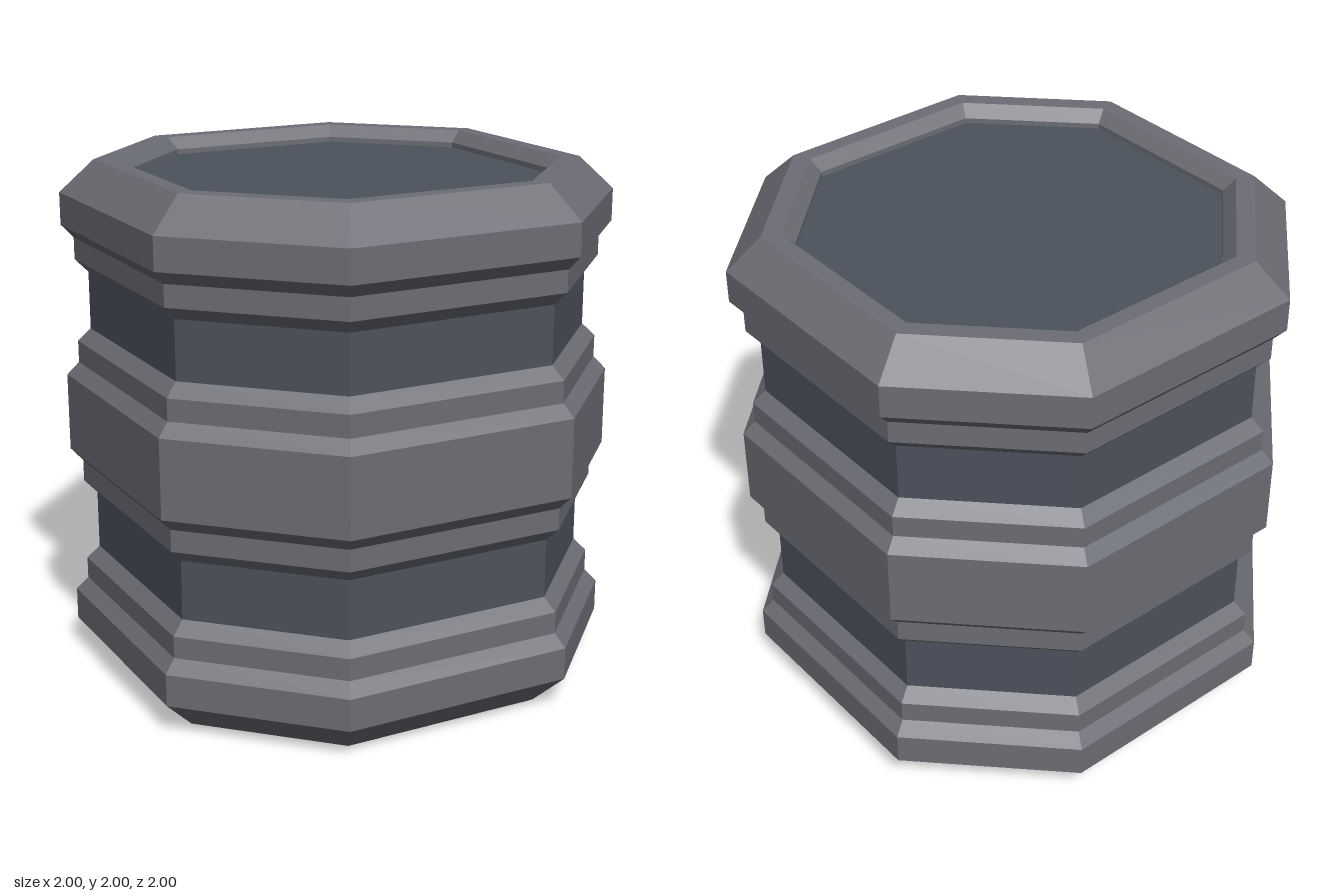
import * as THREE from 'three';

const SHELL = new THREE.MeshStandardMaterial({ color: 0x6c6e75, flatShading: true });
const CORE = new THREE.MeshStandardMaterial({ color: 0x4c525d, flatShading: true });
const CORNER = 0.35; // half width of a flat side, relative to its distance from the axis

// Revolves a [distance, height] profile into eight sides, then squares the octagon up
function octagon(name, profile, material) {
  const points = profile.map(([r, y]) => new THREE.Vector2(r, y));
  const geometry = new THREE.LatheGeometry(points, 8, Math.PI / 8).toNonIndexed();
  const pos = geometry.attributes.position;
  for (let i = 0; i < pos.count; i++) {
    const x = pos.getX(i), z = pos.getZ(i), r = Math.hypot(x, z);
    const wideX = Math.abs(x) > Math.abs(z);
    pos.setX(i, Math.sign(x) * r * (wideX ? 1 : CORNER));
    pos.setZ(i, Math.sign(z) * r * (wideX ? CORNER : 1));
  }
  geometry.computeVertexNormals();
  const mesh = new THREE.Mesh(geometry, material);
  mesh.name = name;
  return mesh;
}

export function createModel() {
  const group = new THREE.Group();
  group.name = 'barrel';

  // Dark inner drum, seen in the two grooves and in the recessed ends
  group.add(octagon('core', [[0, 0.065], [0.907, 0.065], [0.907, 1.935], [0, 1.935]], CORE));

  // End band: stepped lower edge, bevelled rim and inner lip
  const cap = [
    [0.907, 1.565], [0.955, 1.615], [0.955, 1.7], [1, 1.75], [1, 1.875],
    [0.873, 2], [0.805, 2], [0.76, 1.955], [0.76, 1.93],
  ];
  group.add(octagon('topBand', cap, SHELL));
  group.add(octagon('bottomBand', cap.map(([r, y]) => [r, 2 - y]).reverse(), SHELL));

  // Middle band, stepped at both edges
  group.add(octagon('middleBand', [
    [0.907, 0.665], [0.955, 0.715], [0.955, 0.8], [1, 0.85],
    [1, 1.155], [0.955, 1.205], [0.955, 1.29], [0.907, 1.34],
  ], SHELL));

  return group;
}
